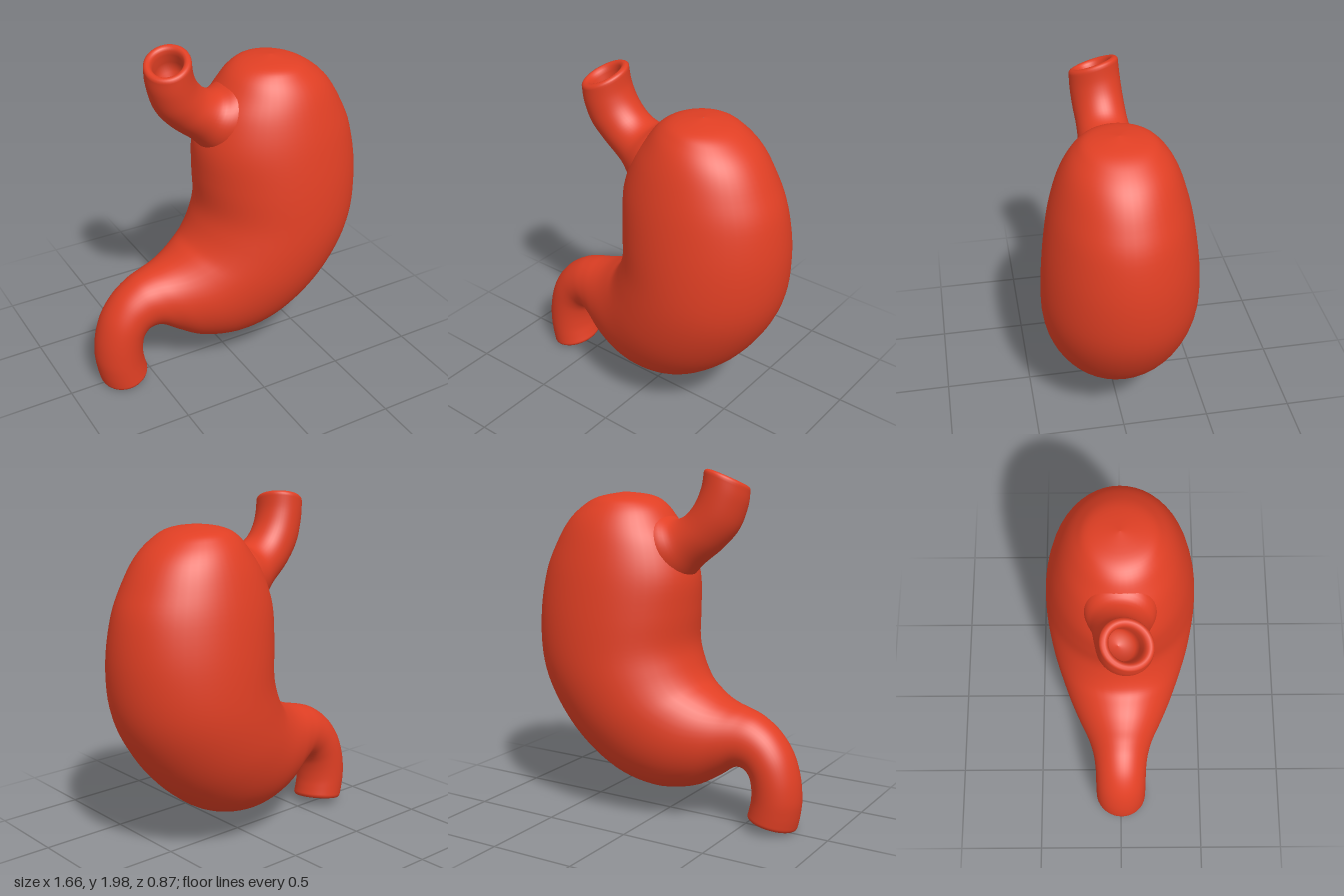
import * as THREE from 'three';

const SIDES = 48;
const STEPS = 5;

// Smooth interpolation through rows of section parameters
function interpolate(rows, steps) {
  const out = [];
  const last = rows.length - 1;
  for (let i = 0; i < last; i++) {
    const p0 = rows[Math.max(i - 1, 0)], p1 = rows[i];
    const p2 = rows[i + 1], p3 = rows[Math.min(i + 2, last)];
    for (let s = 0; s < steps; s++) {
      const t = s / steps;
      out.push(p1.map((v, k) => {
        const m1 = (p2[k] - p0[k]) / 2, m2 = (p3[k] - v) / 2;
        return v + m1 * t
          + (3 * (p2[k] - v) - 2 * m1 - m2) * t * t
          + (2 * (v - p2[k]) + m1 + m2) * t * t * t;
      }));
    }
  }
  out.push(rows[last]);
  return out;
}

// Elliptical ring spanning (ax, ay) to (bx, by), with half depth d, z offset and tilt
function makeRing([ax, ay, bx, by, d, z = 0, tilt = 0]) {
  return {
    center: new THREE.Vector3((ax + bx) / 2, (ay + by) / 2, z),
    u: new THREE.Vector3((bx - ax) / 2, (by - ay) / 2, 0),
    v: new THREE.Vector3(0, -tilt * d, d),
  };
}

// Rounded lip that turns inward into a short bore: [scale, push along the axis]
const LIP = [[0.98, 0.009], [0.92, 0.017], [0.83, 0.02], [0.74, 0.016],
  [0.67, 0.004], [0.63, -0.02], [0.62, -0.07], [0.6, -0.14], [0.001, -0.16]];

function loftWithLip(rows) {
  const rings = interpolate(rows, STEPS).map(makeRing);
  const end = rings[rings.length - 1];
  const axis = end.u.clone().cross(end.v).normalize();
  for (const [scale, push] of LIP) {
    rings.push({
      center: end.center.clone().addScaledVector(axis, push),
      u: end.u.clone().multiplyScalar(scale),
      v: end.v.clone().multiplyScalar(scale),
    });
  }
  const positions = [], index = [];
  rings.forEach(({ center, u, v }, i) => {
    for (let j = 0; j < SIDES; j++) {
      const a = (j / SIDES) * Math.PI * 2;
      const p = center.clone().addScaledVector(u, Math.cos(a)).addScaledVector(v, Math.sin(a));
      positions.push(p.x, p.y, p.z);
      if (i < rings.length - 1) {
        const k = (j + 1) % SIDES;
        const a0 = i * SIDES + j, b0 = i * SIDES + k;
        index.push(a0, b0, a0 + SIDES, b0, b0 + SIDES, a0 + SIDES);
      }
    }
  });
  const geometry = new THREE.BufferGeometry();
  geometry.setAttribute('position', new THREE.Float32BufferAttribute(positions, 3));
  geometry.setIndex(index);
  geometry.computeVertexNormals();
  return geometry;
}

export function createModel() {
  const group = new THREE.Group();
  group.name = 'stomach';
  const red = new THREE.MeshStandardMaterial({ color: 0xe03f24 });
  red.name = 'organ red';

  const add = (name, rows) => {
    const mesh = new THREE.Mesh(loftWithLip(rows), red);
    mesh.name = name;
    group.add(mesh);
  };

  // Domed top, curved sac and outlet, running from inner to outer curve
  add('bodyAndOutlet', [
    [0.299, 1.85, 0.301, 1.85, 0.001, 0, 0],
    [0.15, 1.83, 0.45, 1.82, 0.16, 0, 0],
    [0.06, 1.785, 0.55, 1.765, 0.23, 0, 0],
    [-0.01, 1.70, 0.64, 1.68, 0.29, 0, 0],
    [-0.09, 1.58, 0.72, 1.55, 0.34, 0, 0],
    [-0.15, 1.40, 0.79, 1.38, 0.385, 0, 0],
    [-0.15, 1.20, 0.825, 1.12, 0.42, 0, 0],
    [-0.14, 1.02, 0.80, 0.85, 0.435, 0, 0],
    [-0.17, 0.90, 0.70, 0.62, 0.43, 0, 0],
    [-0.22, 0.81, 0.53, 0.40, 0.405, 0, 0],
    [-0.28, 0.765, 0.30, 0.225, 0.36, 0, 0],
    [-0.35, 0.725, 0.05, 0.155, 0.305, 0, 0],
    [-0.42, 0.70, -0.18, 0.185, 0.245, 0, 0],
    [-0.50, 0.68, -0.33, 0.265, 0.195, 0, 0],
    [-0.59, 0.645, -0.43, 0.335, 0.165, 0, 0],
    [-0.69, 0.57, -0.495, 0.345, 0.152, 0, 0],
    [-0.77, 0.46, -0.535, 0.31, 0.15, 0, 0],
    [-0.815, 0.33, -0.55, 0.25, 0.15, 0, 0.04],
    [-0.83, 0.20, -0.55, 0.18, 0.15, 0, 0.1],
    [-0.82, 0.10, -0.54, 0.125, 0.15, 0, 0.14],
    [-0.805, 0.03, -0.53, 0.085, 0.15, 0, 0.15],
  ]);

  // Inlet tube, flared where it leaves the sac and leaning forward at the top
  add('inletTube', [
    [0.20, 1.70, 0.05, 1.25, 0.21, 0, 0],
    [0.07, 1.745, -0.10, 1.36, 0.195, 0, 0],
    [-0.03, 1.71, -0.20, 1.46, 0.155, 0, 0],
    [-0.11, 1.735, -0.32, 1.56, 0.142, 0.005, 0.05],
    [-0.17, 1.80, -0.41, 1.67, 0.14, 0.015, 0.15],
    [-0.205, 1.88, -0.455, 1.80, 0.138, 0.025, 0.25],
    [-0.217, 1.965, -0.465, 1.885, 0.135, 0.03, 0.3],
  ]);

  return group;
}
